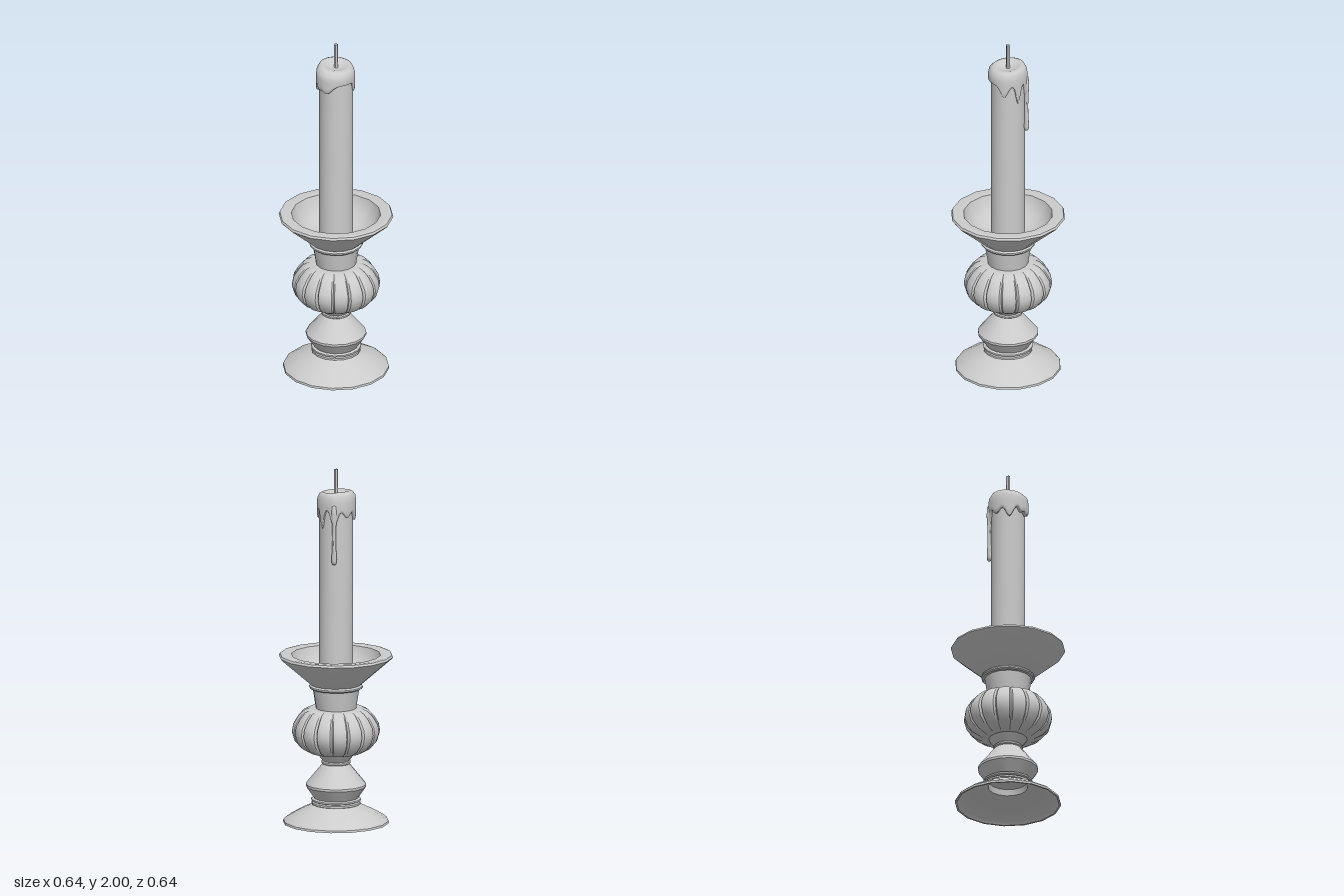
import * as THREE from 'three';
import { toCreasedNormals } from 'three/addons/utils/BufferGeometryUtils.js';

const material = new THREE.MeshStandardMaterial({ color: 0xcccccc });

function lathe(points, sides) {
  return new THREE.LatheGeometry(points.map(([r, y]) => new THREE.Vector2(r, y)), sides);
}

function add(group, name, geometry, crease = 0.5) {
  const mesh = new THREE.Mesh(toCreasedNormals(geometry, crease), material);
  mesh.name = name;
  group.add(mesh);
  return mesh;
}

// Moves each vertex in cylindrical terms: rule(radius, y, angle) -> [radius, y]
function reshape(geometry, rule) {
  const p = geometry.attributes.position;
  for (let i = 0; i < p.count; i++) {
    const a = Math.atan2(p.getX(i), p.getZ(i));
    const [r, y] = rule(Math.hypot(p.getX(i), p.getZ(i)), p.getY(i), a);
    p.setXYZ(i, r * Math.sin(a), y, r * Math.cos(a));
  }
  return geometry;
}

// Soft bump around an angle given in degrees
function bump(angle, degrees, width) {
  let d = THREE.MathUtils.radToDeg(angle) - degrees;
  d = ((d + 540) % 360) - 180;
  return Math.exp(-((d / width) ** 2));
}

export function createModel() {
  const group = new THREE.Group();
  group.name = 'candlestick';

  // Hollow foot, rings and turned lower stem
  add(group, 'footAndStem', lathe([
    [0, 0.135], [0.105, 0.135], [0.11, 0.1], [0.2, 0.06], [0.275, 0.015], [0.285, 0],
    [0.295, 0], [0.293, 0.012], [0.277, 0.026], [0.21, 0.065], [0.13, 0.103],
    [0.136, 0.106], [0.136, 0.116], [0.125, 0.121], [0.138, 0.126], [0.138, 0.135], [0.123, 0.14],
    [0.168, 0.205], [0.168, 0.218], [0.157, 0.232], [0.075, 0.332],
    [0.082, 0.337], [0.082, 0.346], [0.075, 0.351], [0.112, 0.4], [0.1, 0.41],
  ], 16));

  // Lobed bulb: sixteen panels parted by narrow grooves
  const bulb = lathe([
    [0.09, 0.393], [0.12, 0.393], [0.15, 0.4], [0.195, 0.425], [0.23, 0.465], [0.245, 0.515],
    [0.238, 0.557], [0.212, 0.6], [0.182, 0.632], [0.155, 0.645], [0.125, 0.648], [0.09, 0.648],
  ], 16 * 10);
  reshape(bulb, (r, y, a) => {
    const turn = (a * 16) / (2 * Math.PI);
    const d = Math.abs(turn - Math.round(turn)); // 0 in a groove, 0.5 mid panel
    const groove = d < 0.05 ? 0.08 : d < 0.15 ? 0.02 : 0.012 * (1 - 2 * d);
    return [r > 0.1 ? r * (1 - groove) : r, y];
  });
  add(group, 'lobedBulb', bulb, 0.6);

  // Collar, ring and flared drip cup
  add(group, 'collarAndCup', lathe([
    [0.09, 0.645], [0.112, 0.645], [0.13, 0.757], [0.142, 0.759], [0.149, 0.766], [0.149, 0.774],
    [0.14, 0.782], [0.312, 0.932], [0.318, 0.94], [0.312, 0.952], [0.3, 0.955], [0.248, 0.95],
    [0.235, 0.905], [0.205, 0.86], [0.16, 0.825], [0.1, 0.805], [0, 0.8],
  ], 16));

  // Candle and wick
  const candle = add(group, 'candle', new THREE.CylinderGeometry(0.094, 0.094, 1.03, 32));
  candle.position.y = 0.795 + 1.03 / 2;
  const wick = add(group, 'wick', new THREE.CylinderGeometry(0.011, 0.011, 0.16, 6), 1.2);
  wick.position.y = 1.92;

  // Melted wax cap; each drip is [angle, drop, width]
  const drips = [[42, 0.07, 16], [90, 0.115, 11], [135, 0.1, 14], [180, 0.05, 18],
    [-135, 0.075, 17], [-70, 0.05, 22], [-98, 0.03, 10]];
  const wax = lathe([
    [0.09, 1.7], [0.101, 1.701], [0.105, 1.715], [0.106, 1.75], [0.106, 1.8], [0.106, 1.825],
    [0.102, 1.85], [0.092, 1.87], [0.078, 1.877], [0.062, 1.872], [0.04, 1.862], [0, 1.858],
  ], 96);
  reshape(wax, (r, y, a) => {
    let edge = 1.79;
    for (const [angle, drop, width] of drips) edge -= drop * bump(a, angle, width);
    const top = THREE.MathUtils.smoothstep(y, 1.8, 1.87);
    const swell = 0.012 * bump(a, -85, 45) + 0.004 * bump(a, 135, 14) - 0.003 * bump(a, 90, 40);
    const radius = r + (r > 0.095 ? swell : 0);
    if (y < 1.8) y = edge + (1.8 - edge) * (y - 1.7) * 10;
    return [radius, y - top * 0.1 * r * Math.cos(a)];
  });
  add(group, 'waxCap', wax, 1.0);

  // Long wax run down the back corner
  const run = add(group, 'waxRun', lathe([
    [0, 1.477], [0.009, 1.481], [0.014, 1.492], [0.015, 1.51], [0.012, 1.56],
    [0.01, 1.63], [0.012, 1.7], [0.016, 1.76], [0.012, 1.81], [0, 1.82],
  ], 12), 1.0);
  run.position.set(0.073, 0, -0.073);

  return group;
}
